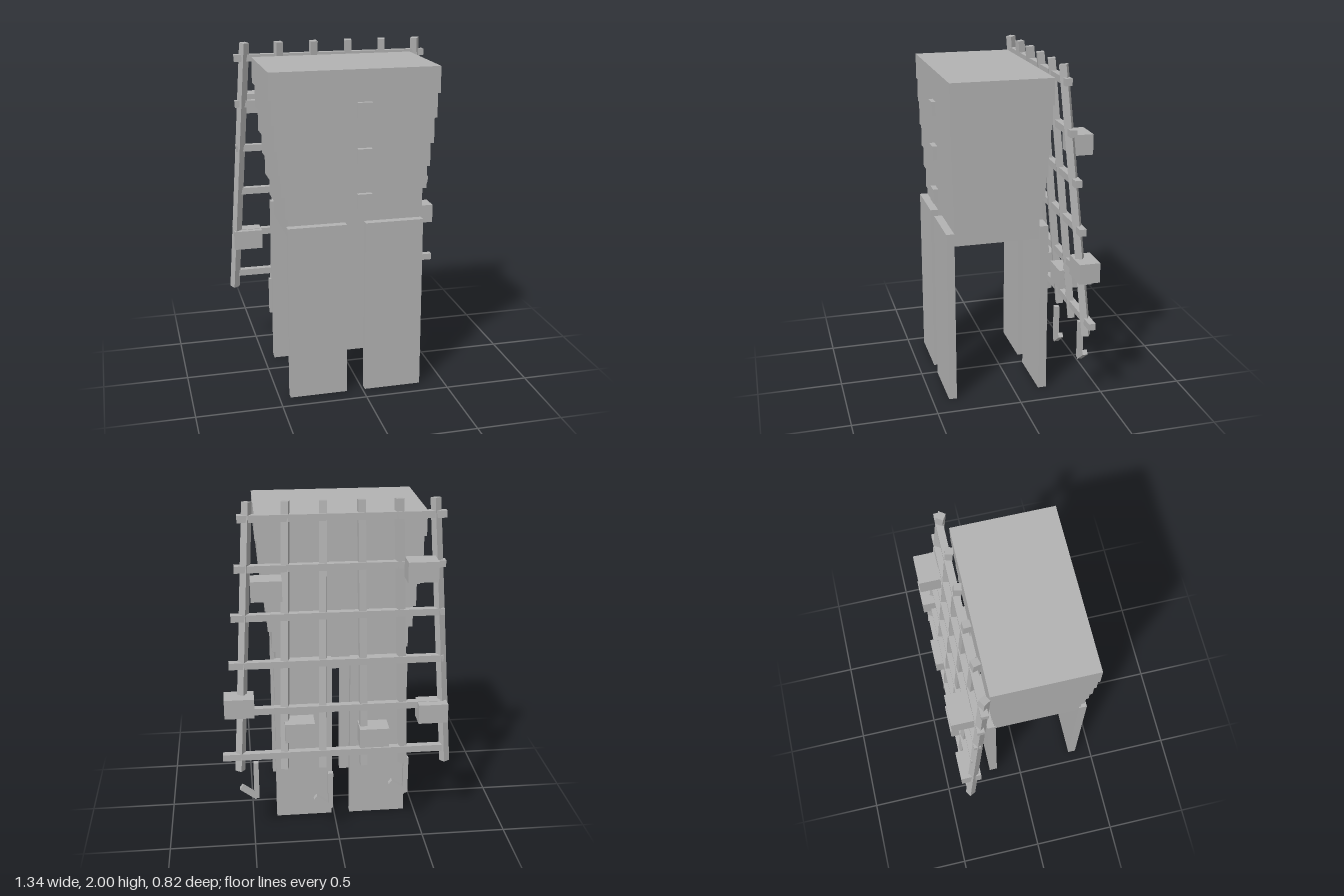
import * as THREE from 'three';

export function createModel() {
  const group = new THREE.Group();
  const grey = new THREE.MeshStandardMaterial({ color: 0xb2b2b2 });
  grey.name = 'plain grey';

  const add = (name, w, h, d, x, y, z, parent = group) => {
    const mesh = new THREE.Mesh(new THREE.BoxGeometry(w, h, d), grey);
    mesh.name = name;
    mesh.position.set(x, y, z);
    parent.add(mesh);
    return mesh;
  };
  // box given by its limits
  const span = (name, x0, x1, y0, y1, z0, z1) =>
    add(name, x1 - x0, y1 - y0, z1 - z0, (x0 + x1) / 2, (y0 + y1) / 2, (z0 + z1) / 2);

  // Body: stacked tiers widening upward [bottom, top, half width, back, front]
  const tiers = [
    [0.96, 1.085, 0.38, -0.15, 0.355],
    [1.085, 1.215, 0.4, -0.16, 0.36],
    [1.215, 1.345, 0.423, -0.17, 0.368],
    [1.345, 1.48, 0.438, -0.18, 0.375],
    [1.48, 1.625, 0.456, -0.184, 0.381],
    [1.625, 1.765, 0.47, -0.189, 0.386],
    [1.765, 1.915, 0.484, -0.194, 0.39],
  ];
  for (const [y0, y1, half, z0, z1] of tiers) span('bodyTier', -0.04 - half, -0.04 + half, y0, y1, z0, z1);

  // Four flat hanging panels
  for (const [x0, x1] of [[-0.435, -0.095], [0.015, 0.355]]) {
    span('frontPanel', x0, x1, 0, 1.04, 0.355, 0.402);
    span('backPanel', x0, x1, 0, 1.04, -0.2, -0.15);
  }

  // Buttons down the front
  for (const y of [1.172, 1.432, 1.692]) add('button', 0.085, 0.085, 0.03, 0.008, y, 0.396);

  // Net: uprights fanning outward and back toward the bottom
  const uprights = [
    [-0.558, -0.645], [-0.355, -0.39], [-0.145, -0.157],
    [0.065, 0.085], [0.273, 0.31], [0.482, 0.572],
  ];
  for (const [topX, bottomX] of uprights) {
    const top = new THREE.Vector3(topX, 1.995, -0.227);
    const bottom = new THREE.Vector3(bottomX, 0.428, -0.367);
    const dir = top.clone().sub(bottom);
    const mid = top.clone().add(bottom).multiplyScalar(0.5);
    const bar = add('netUpright', 0.042, dir.length(), 0.042, mid.x, mid.y, mid.z);
    bar.rotation.set(Math.atan2(Math.hypot(dir.x, dir.z), dir.y), Math.atan2(dir.x, dir.z), 0, 'YXZ');
  }

  // Net: crossbars, longer toward the bottom
  [0.54, 0.566, 0.594, 0.616, 0.65, 0.67].forEach((right, i) => {
    const y = 1.906 - i * 0.277;
    const z = -0.24 - i * 0.0255;
    span('netCrossbar', -0.62, right, y - 0.02, y + 0.02, z - 0.02, z + 0.02);
  });

  // Floats on the net
  const floats = [
    [-0.47, 1.622], [0.394, 1.54], [-0.558, 0.757],
    [0.565, 0.842], [0.22, 0.672], [-0.215, 0.618],
  ];
  for (const [x, y] of floats) add('float', 0.172, 0.117, 0.122, x, y, -0.35);

  // Hooks hanging below the net
  for (const [x, y] of [[0.48, 0.475], [0.04, 0.38], [-0.41, 0.46]]) {
    const hook = new THREE.Group();
    hook.name = 'hook';
    hook.position.set(x, y, -0.365);
    add('hookShank', 0.03, 0.235, 0.03, 0, -0.1175, 0, hook);
    add('hookBarb', 0.118, 0.03, 0.03, 0.044, -0.195, 0, hook).rotation.z = 0.65;
    group.add(hook);
  }

  return group;
}
